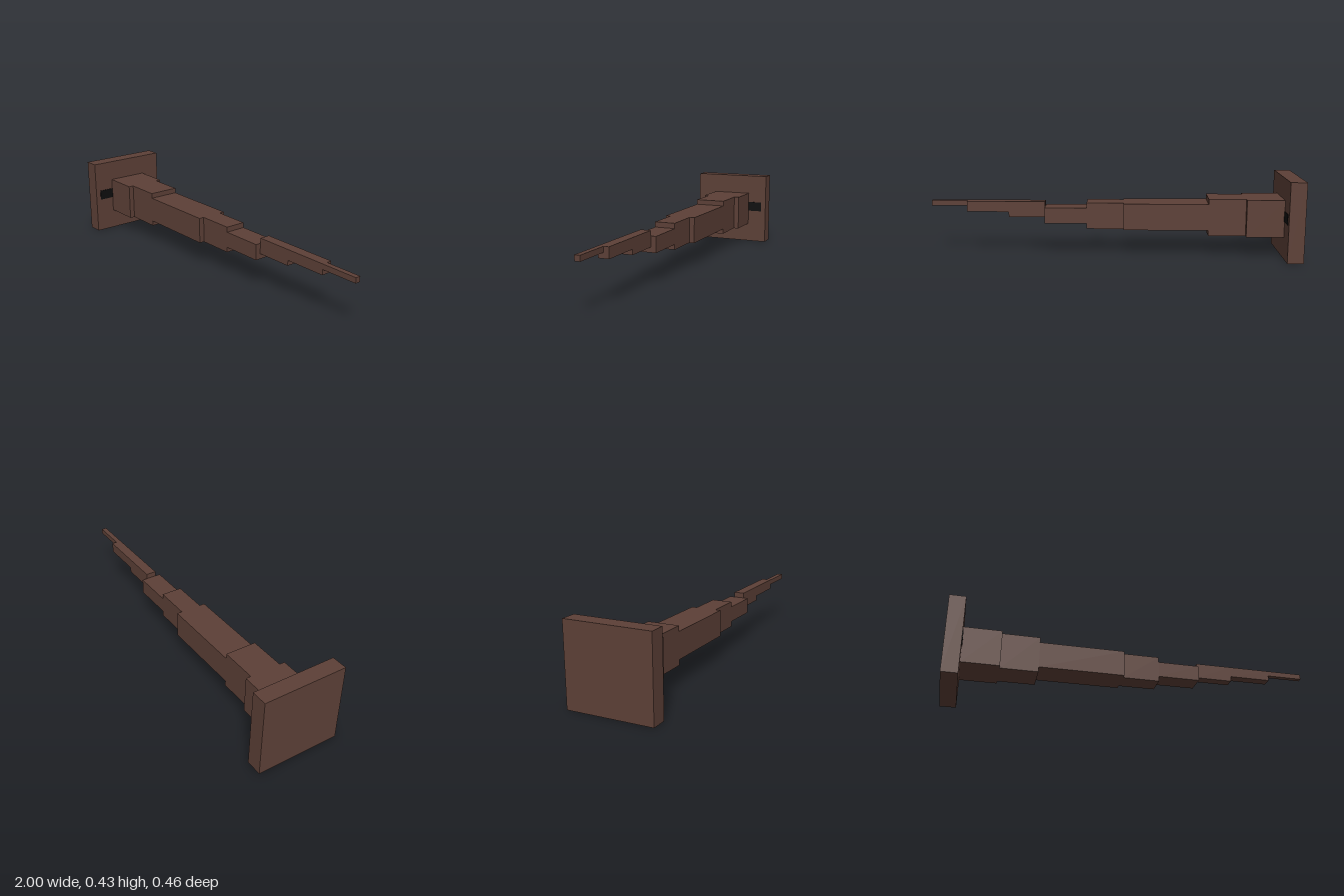
import * as THREE from 'three';

// Everything sits on a grid of 70 cells along the 2-unit length
const U = 2 / 70;

export function createModel() {
  const model = new THREE.Group();
  const brown = new THREE.MeshStandardMaterial({ color: 0x5d4037 });
  brown.name = 'brown';
  const black = new THREE.MeshStandardMaterial({ color: 0x0e0e0e });
  black.name = 'black';

  // Box from grid limits: x from the back of the plate, y from the ground, z from the middle
  const block = (name, material, x0, x1, y0, y1, z0, z1) => {
    const geometry = new THREE.BoxGeometry((x1 - x0) * U, (y1 - y0) * U, (z1 - z0) * U);
    const mesh = new THREE.Mesh(geometry, material);
    mesh.name = name;
    mesh.position.set(((x0 + x1) / 2 - 35) * U, ((y0 + y1) / 2) * U, ((z0 + z1) / 2) * U);
    model.add(mesh);
  };

  // Upright square base plate
  block('basePlate', brown, 0, 3, 0, 15, -8, 8);

  // Dark eyes as thin plates on either side of the stem
  block('leftEye', black, 3, 3.1, 7, 9, -7, -4);
  block('rightEye', black, 3, 3.1, 7, 9, 4, 7);

  // Stepped, tapering stem: [x0, x1, y0, y1, z0, z1]
  const steps = [
    [3, 10, 4, 11, -4, 4],
    [10, 17, 4, 11, -3, 3],
    [17, 33, 5, 10, -3, 3],
    [33, 40, 5, 10, -2, 2],
    [40, 48, 6, 9, -2, 2],
    [48, 55, 7, 10, -1, 1],
    [55, 63, 8, 10, -1, 1],
    [63, 70, 9, 10, 0, 1],
  ];
  steps.forEach((limits, i) => block(`stemSegment${i + 1}`, brown, ...limits));

  return model;
}
